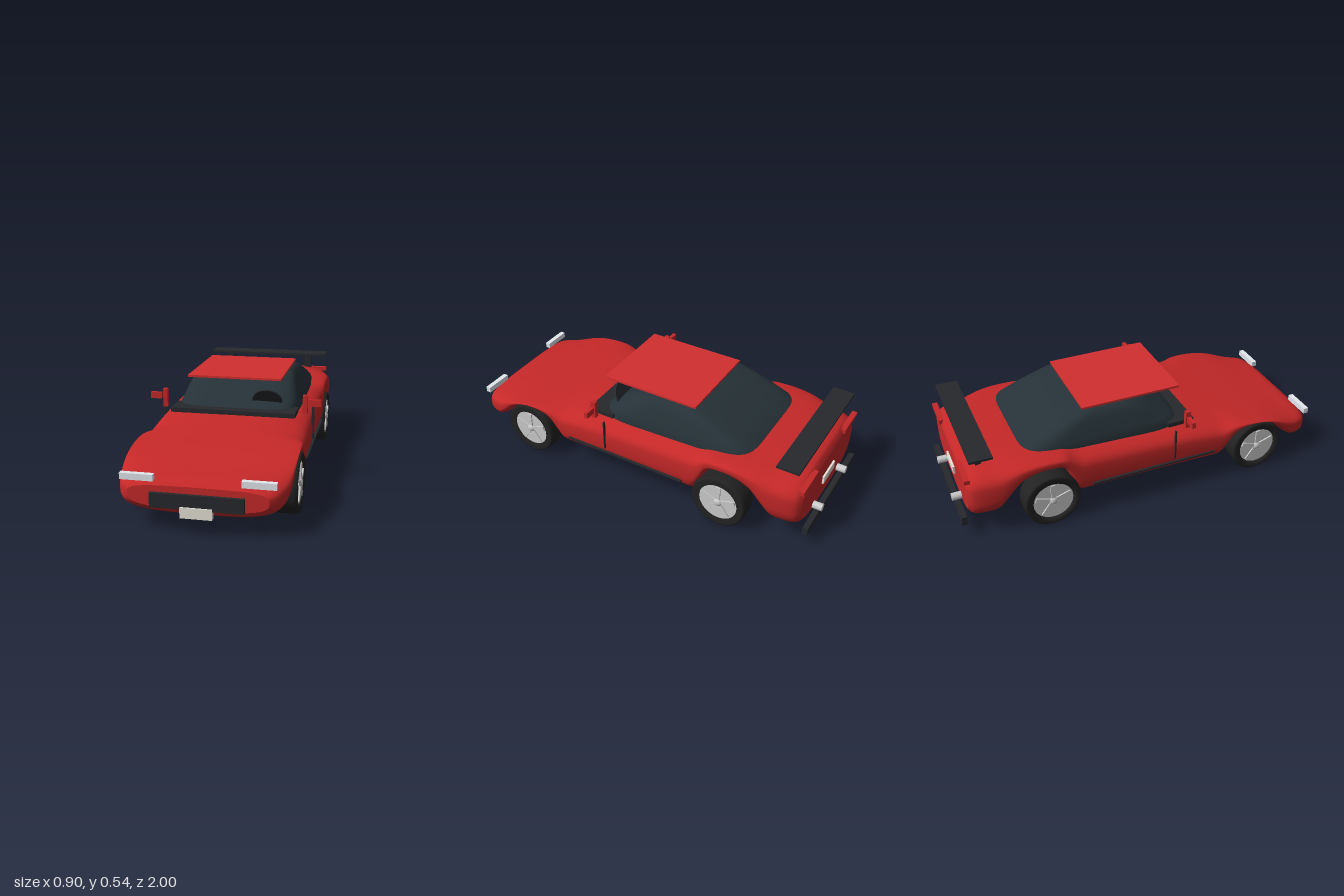
import * as THREE from 'three';

const mat = (color, extra = {}) => new THREE.MeshStandardMaterial({ color, ...extra });
const red = mat(0xc62828), roofRed = mat(0xd32f2f), dark = mat(0x26282c), glass = mat(0x263238);
const rubber = mat(0x222222), silver = mat(0xbdbdbd), lamp = mat(0xe3e8ee), plate = mat(0xe8e4d8);

// Smooth interpolation through [z, value] keys, sorted by z
function sample(keys, z) {
  const n = keys.length;
  let i = 0;
  while (i < n - 2 && z > keys[i + 1][0]) i++;
  const slope = (k) => {
    const a = keys[Math.max(k - 1, 0)], b = keys[Math.min(k + 1, n - 1)];
    return (b[1] - a[1]) / (b[0] - a[0]);
  };
  const [z0, v0] = keys[i], [z1, v1] = keys[i + 1];
  const h = z1 - z0, t = Math.min(Math.max((z - z0) / h, 0), 1), t2 = t * t, t3 = t2 * t;
  return (2 * t3 - 3 * t2 + 1) * v0 + (t3 - 2 * t2 + t) * h * slope(i)
    + (3 * t2 - 2 * t3) * v1 + (t3 - t2) * h * slope(i + 1);
}

// Skin over closed rings of equal point count, with capped ends
function loft(rings) {
  const n = rings[0].length, m = rings.length, pos = [], idx = [];
  rings.forEach((r) => r.forEach((p) => pos.push(...p)));
  for (let i = 0; i < m - 1; i++) {
    for (let j = 0; j < n; j++) {
      const k = (j + 1) % n;
      const a = i * n + j, b = i * n + k, c = b + n, d = a + n;
      idx.push(a, b, d, b, c, d);
    }
  }
  [0, m - 1].forEach((i) => {
    const start = pos.length / 3;
    const mid = [0, 1, 2].map((q) => rings[i].reduce((s, p) => s + p[q], 0) / n);
    rings[i].forEach((p) => pos.push(...p));
    pos.push(...mid);
    for (let j = 0; j < n; j++) {
      const a = start + j, b = start + (j + 1) % n;
      if (i) idx.push(start + n, a, b);
      else idx.push(start + n, b, a);
    }
  });
  const g = new THREE.BufferGeometry();
  g.setAttribute('position', new THREE.Float32BufferAttribute(pos, 3));
  g.setIndex(idx);
  g.computeVertexNormals();
  return g;
}

// Unit superellipse outline, counter-clockwise
function outline(count, power) {
  return Array.from({ length: count }, (_, j) => {
    const t = (j / count) * Math.PI * 2, c = Math.cos(t), s = Math.sin(t);
    return [Math.sign(c) * Math.abs(c) ** (2 / power), Math.sign(s) * Math.abs(s) ** (2 / power)];
  });
}

function bodyGeometry() {
  const top = [[-0.95, 0.34], [-0.935, 0.37], [-0.87, 0.388], [-0.65, 0.396], [-0.3, 0.386], [0.1, 0.368],
    [0.27, 0.352], [0.62, 0.3], [0.85, 0.26], [0.94, 0.243], [0.97, 0.22]];
  // Underside rises over both axles
  const bottom = [[-0.95, 0.11], [-0.93, 0.085], [-0.86, 0.082], [-0.8, 0.1], [-0.75, 0.17], [-0.7, 0.245],
    [-0.63, 0.292], [-0.543, 0.305], [-0.46, 0.275], [-0.42, 0.16], [-0.385, 0.09], [-0.33, 0.08], [0.37, 0.08],
    [0.41, 0.09], [0.44, 0.14], [0.48, 0.22], [0.54, 0.268], [0.62, 0.282], [0.7, 0.262], [0.76, 0.215],
    [0.81, 0.15], [0.86, 0.098], [0.91, 0.083], [0.95, 0.09], [0.97, 0.115]];
  const width = [[-0.95, 0.335], [-0.93, 0.362], [-0.85, 0.387], [-0.72, 0.4], [0, 0.4], [0.75, 0.4],
    [0.86, 0.388], [0.94, 0.358], [0.97, 0.32]];
  const shape = outline(64, 3.3);
  const rings = [];
  for (let i = 0; i <= 140; i++) {
    const z = -0.95 + (1.92 * i) / 140;
    const t = sample(top, z), b = sample(bottom, z), w = sample(width, z);
    const mid = b + (t - b) * 0.6;
    rings.push(shape.map(([x, y]) => [x * w, mid + y * (y > 0 ? t - mid : mid - b), z]));
  }
  return loft(rings);
}

function cabinGeometry() {
  // Height, half width, front z, rear z
  const layers = [[0.34, 0.326, 0.23, -0.665], [0.375, 0.324, 0.205, -0.66], [0.4, 0.317, 0.16, -0.645],
    [0.44, 0.302, 0.1, -0.56], [0.48, 0.285, 0.04, -0.46], [0.51, 0.268, -0.03, -0.38],
    [0.525, 0.248, -0.08, -0.31], [0.532, 0.22, -0.11, -0.28]];
  const shape = outline(64, 6);
  return loft(layers.map(([y, w, f, r]) =>
    shape.map(([x, s]) => [x * w, y, (f + r) / 2 - (s * (f - r)) / 2])));
}

// Wheel with its axle along x
function makeWheel(name) {
  const wheel = new THREE.Group();
  wheel.name = name;
  const add = (part, geo, material) => {
    const m = new THREE.Mesh(geo, material);
    m.name = part;
    wheel.add(m);
    return m;
  };
  const pts = [[0.104, -0.05], [0.135, -0.055], [0.144, -0.05], [0.147, -0.035], [0.147, 0.035],
    [0.144, 0.05], [0.135, 0.055], [0.104, 0.05], [0.104, -0.05]].map(([x, y]) => new THREE.Vector2(x, y));
  add('tyre', new THREE.LatheGeometry(pts, 48), rubber).rotation.z = Math.PI / 2;
  add('rim', new THREE.CylinderGeometry(0.105, 0.105, 0.092, 40), silver).rotation.z = Math.PI / 2;
  [-1, 1].forEach((s) => {
    const hub = add('hub', new THREE.SphereGeometry(0.024, 20, 14), silver);
    hub.position.x = s * 0.045;
    hub.scale.x = 0.7;
    for (let i = 0; i < 5; i++) {
      const a = (i / 5) * Math.PI * 2;
      const spoke = add('spoke', new THREE.BoxGeometry(0.014, 0.075, 0.024), silver);
      spoke.position.set(s * 0.046, Math.cos(a) * 0.058, Math.sin(a) * 0.058);
      spoke.rotation.x = a;
    }
  });
  return wheel;
}

export function createModel() {
  const car = new THREE.Group();
  car.name = 'sportsCar';
  const add = (name, geo, material, x = 0, y = 0, z = 0) => {
    const m = new THREE.Mesh(geo, material);
    m.name = name;
    m.position.set(x, y, z);
    car.add(m);
    return m;
  };
  // Box given by its limits on each axis
  const box = (name, material, [x0, x1], [y0, y1], [z0, z1]) =>
    add(name, new THREE.BoxGeometry(x1 - x0, y1 - y0, z1 - z0), material, (x0 + x1) / 2, (y0 + y1) / 2, (z0 + z1) / 2);
  const pair = (name, material, [x0, x1], y, z) => {
    box(name + 'Left', material, [x0, x1], y, z);
    box(name + 'Right', material, [-x1, -x0], y, z);
  };

  // Body shell, cabin and roof
  add('body', bodyGeometry(), red);
  add('cabinGlass', cabinGeometry(), glass);
  box('windscreenBase', dark, [-0.325, 0.325], [0.352, 0.375], [0.12, 0.265]);
  box('roofPanel', roofRed, [-0.245, 0.245], [0.53, 0.541], [-0.32, 0.213]);
  const steering = add('steeringWheel', new THREE.CylinderGeometry(0.078, 0.078, 0.01, 32), dark, 0.163, 0.405, 0.145);
  steering.rotation.x = Math.PI / 2 + 0.52;

  // Side details
  pair('mirrorPost', red, [0.357, 0.381], [0.365, 0.46], [0.19, 0.216]);
  pair('mirror', red, [0.39, 0.45], [0.405, 0.438], [0.19, 0.21]);
  pair('doorLine', dark, [0.395, 0.408], [0.21, 0.378], [0.121, 0.128]);
  pair('sillStrip', dark, [0.385, 0.408], [0.18, 0.188], [-0.33, 0.36]);

  // Front details
  pair('headlight', lamp, [0.198, 0.352], [0.235, 0.265], [0.945, 0.972]);
  box('grille', dark, [-0.213, 0.213], [0.12, 0.188], [0.95, 0.988]);
  box('frontPlate', plate, [-0.073, 0.073], [0.083, 0.133], [0.965, 0.995]);

  // Rear details
  pair('tailLight', red, [0.18, 0.36], [0.343, 0.365], [-0.958, -0.93]);
  box('rearPlate', plate, [-0.073, 0.073], [0.2, 0.245], [-0.96, -0.94]);
  box('rearBumper', dark, [-0.325, 0.325], [0.072, 0.12], [-0.99, -0.962]);
  box('spoilerWing', dark, [-0.365, 0.365], [0.459, 0.471], [-0.925, -0.81]);
  pair('spoilerPost', dark, [0.23, 0.27], [0.37, 0.462], [-0.88, -0.85]);
  [-1, 1].forEach((s) => {
    const pipe = add('exhaust', new THREE.CylinderGeometry(0.02, 0.02, 0.07, 20), silver, s * 0.163, 0.133, -0.965);
    pipe.rotation.x = Math.PI / 2;
    // Wheels
    [['front', 0.62], ['rear', -0.543]].forEach(([end, z]) => {
      const wheel = makeWheel(end + (s > 0 ? 'LeftWheel' : 'RightWheel'));
      wheel.position.set(s * 0.357, 0.147, z);
      car.add(wheel);
    });
  });
  return car;
}
